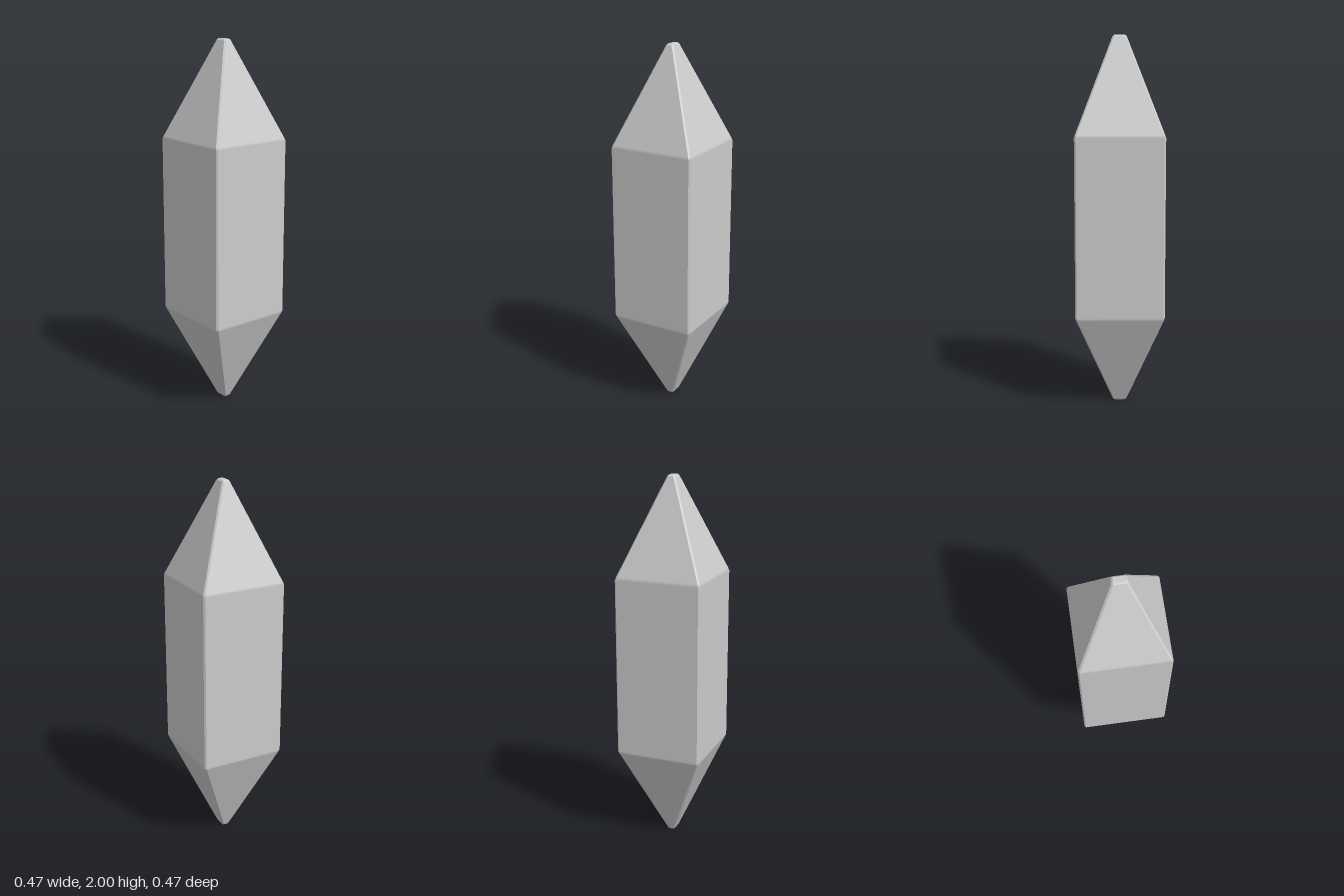
import * as THREE from 'three';

// Horizontal cross-section: a rectangle with cut corners, running from +x towards +z
function ring([y, hx, hz, c]) {
  return [
    [hx, -hz + c], [hx, hz - c], [hx - c, hz], [-hx + c, hz],
    [-hx, hz - c], [-hx, -hz + c], [-hx + c, -hz], [hx - c, -hz],
  ].map(([x, z]) => new THREE.Vector3(x, y, z));
}

const faceNormal = (a, b, c) => b.clone().sub(a).cross(c.clone().sub(a)).normalize();

export function createModel() {
  // Upper half sections: y, half width, half depth, corner bevel
  const upper = [
    [1.475, 0.236, 0.234, 0.008],
    [1.49, 0.231, 0.229, 0.008],
    [1.992, 0.038, 0.022, 0.008],
    [2, 0.03, 0.014, 0.004],
  ];
  const lower = upper.map(([y, ...rest]) => [2 - y, ...rest]).reverse();
  const rings = [...lower, ...upper].map(ring);
  const softBands = [2, 4]; // waist bevels, shaded smoothly between their neighbours

  const positions = [], normals = [];
  const push = (p, n) => { positions.push(p.x, p.y, p.z); normals.push(n.x, n.y, n.z); };

  // Walls, one column of faces per side
  for (let j = 0; j < 8; j++) {
    const k = (j + 1) % 8;
    const flat = rings.slice(0, -1).map((r, i) => faceNormal(r[j], rings[i + 1][j], r[k]));
    for (let i = 0; i < flat.length; i++) {
      const soft = softBands.includes(i);
      const nLow = soft ? flat[i - 1] : flat[i];
      const nHigh = soft ? flat[i + 1] : flat[i];
      const a = rings[i][j], b = rings[i][k], c = rings[i + 1][k], d = rings[i + 1][j];
      push(a, nLow); push(d, nHigh); push(b, nLow);
      push(b, nLow); push(d, nHigh); push(c, nHigh);
    }
  }

  // Small flat caps on both tips
  const up = new THREE.Vector3(0, 1, 0), down = new THREE.Vector3(0, -1, 0);
  const bottom = rings[0], top = rings[rings.length - 1];
  for (let j = 1; j < 7; j++) {
    push(top[0], up); push(top[j + 1], up); push(top[j], up);
    push(bottom[0], down); push(bottom[j], down); push(bottom[j + 1], down);
  }

  const geometry = new THREE.BufferGeometry();
  geometry.setAttribute('position', new THREE.Float32BufferAttribute(positions, 3));
  geometry.setAttribute('normal', new THREE.Float32BufferAttribute(normals, 3));

  const crystal = new THREE.Mesh(geometry, new THREE.MeshStandardMaterial({ color: 0xcccccc }));
  crystal.name = 'crystal';
  const group = new THREE.Group();
  group.name = 'crystalShard';
  group.add(crystal);
  return group;
}
